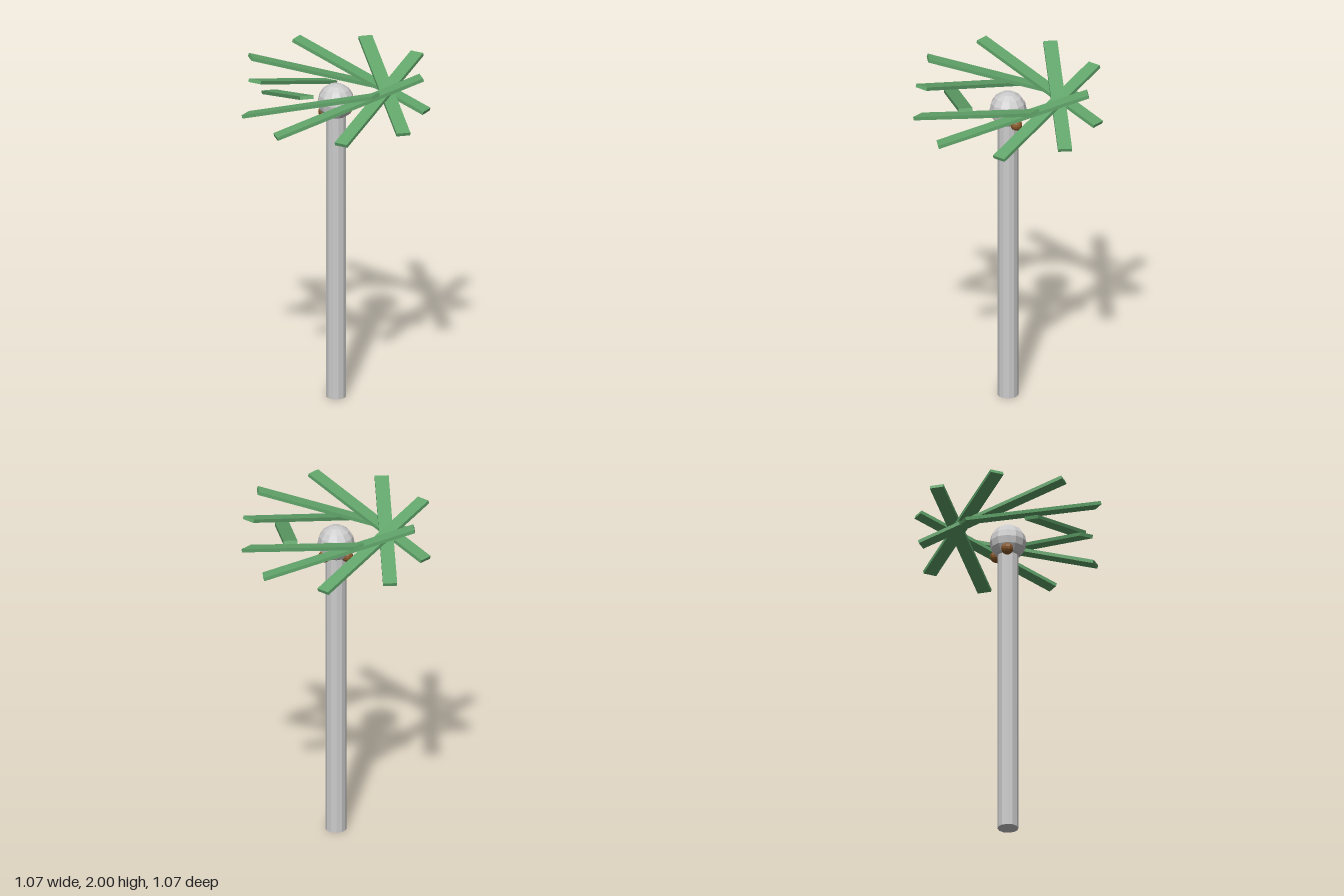
import * as THREE from 'three';

export function createModel() {
  const model = new THREE.Group();
  const paint = (color) => new THREE.MeshStandardMaterial({ color, flatShading: true });
  const grey = paint(0xcccccc), green = paint(0x62a66b), brown = paint(0x8b5a2b);

  const add = (parent, name, geometry, material, x, y, z) => {
    const mesh = new THREE.Mesh(geometry, material);
    mesh.name = name;
    mesh.position.set(x, y, z);
    parent.add(mesh);
    return mesh;
  };

  // Straight trunk with a round crown on top
  add(model, 'trunk', new THREE.CylinderGeometry(0.06, 0.06, 1.7, 12), grey, 0, 0.85, 0);
  add(model, 'crown', new THREE.SphereGeometry(0.105, 12, 8), grey, 0, 1.785, 0);

  // Two nuts tucked under the crown
  const nut = new THREE.SphereGeometry(0.035, 10, 8);
  add(model, 'nutLeft', nut, brown, 0.07, 1.717, -0.04);
  add(model, 'nutRight', nut, brown, -0.06, 1.717, -0.035);

  // Eight slanted plank fronds, set tangentially around the crown
  const fronds = new THREE.Group();
  fronds.name = 'fronds';
  const plank = new THREE.BoxGeometry(0.9, 0.02, 0.08);
  for (let i = 0; i < 8; i++) {
    const arm = new THREE.Group();
    arm.name = 'frondArm' + (i + 1);
    arm.rotation.y = (i * Math.PI) / 4;
    add(arm, 'frond', plank, green, 0, 1.851, 0.283).rotation.z = Math.PI / 10;
    fronds.add(arm);
  }
  model.add(fronds);
  return model;
}
